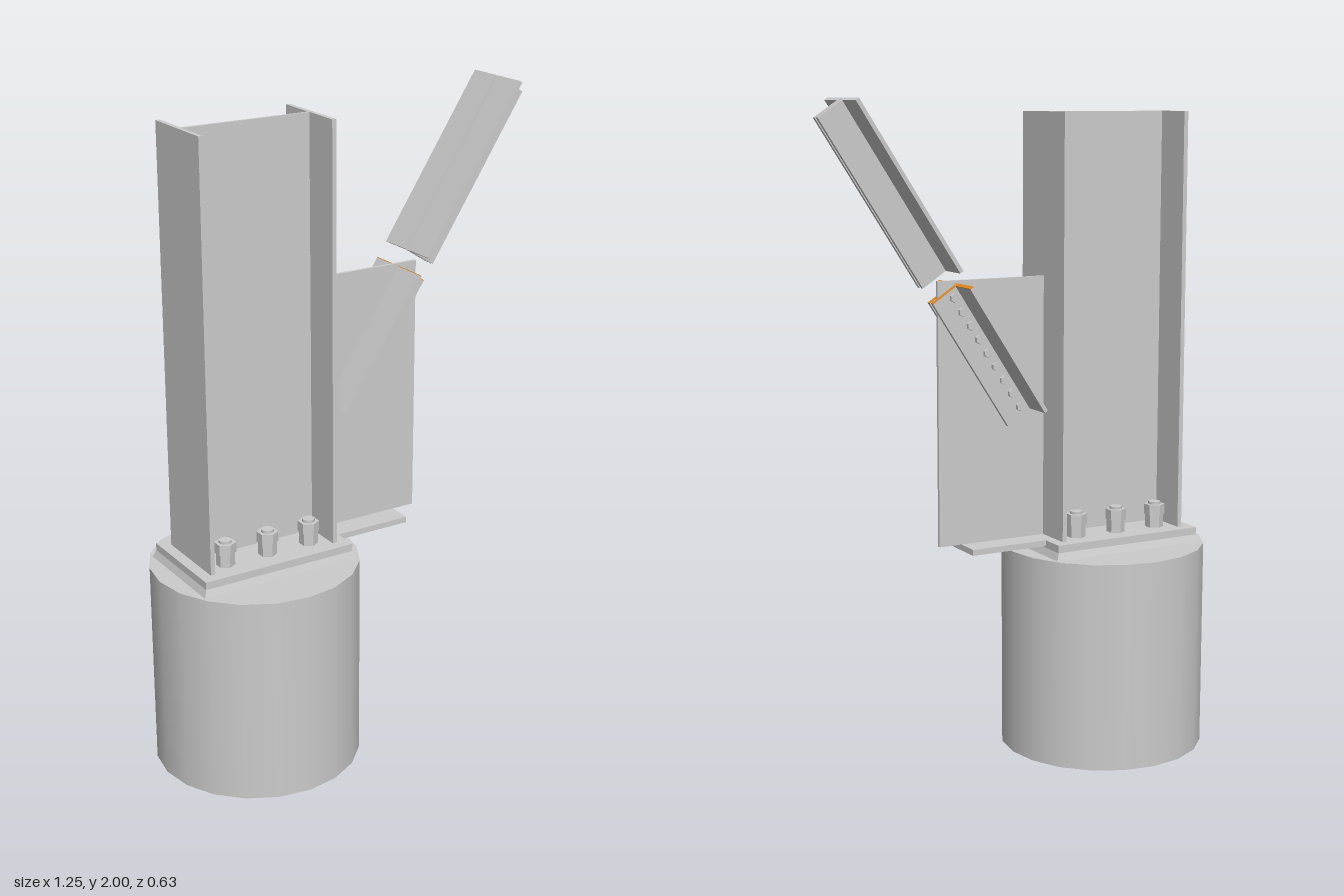
import * as THREE from 'three';

const grey = new THREE.MeshStandardMaterial({ color: 0xcccccc });
const greyFlat = new THREE.MeshStandardMaterial({ color: 0xcccccc, flatShading: true });
const orange = new THREE.MeshStandardMaterial({ color: 0xe08a1e });

function add(parent, name, geometry, material = grey) {
  const mesh = new THREE.Mesh(geometry, material);
  mesh.name = name;
  parent.add(mesh);
  return mesh;
}

// Box given by its limits on each axis
function block(parent, name, [x0, x1], [y0, y1], [z0, z1]) {
  const mesh = add(parent, name, new THREE.BoxGeometry(x1 - x0, y1 - y0, z1 - z0));
  mesh.position.set((x0 + x1) / 2, (y0 + y1) / 2, (z0 + z1) / 2);
  return mesh;
}

// L-shaped section extruded along local x; its corner lies on the upper edge beside the gusset
function angleGeometry(side, length) {
  const gap = 0.005, t = 0.012, leg = 0.1, reach = 0.11;
  const outline = [[gap, 0], [reach, 0], [reach, -t], [gap + t, -t], [gap + t, -leg], [gap, -leg]];
  const shape = new THREE.Shape(outline.map(([z, y]) => new THREE.Vector2(-side * z, y)));
  return new THREE.ExtrudeGeometry(shape, { depth: length, bevelEnabled: false }).rotateY(Math.PI / 2);
}

// Pair of back-to-back angles on the inclined brace line
function brace(parent, name, x, y, length) {
  const group = new THREE.Group();
  group.name = name;
  group.position.set(x, y, 0);
  group.rotation.z = THREE.MathUtils.degToRad(57);
  for (const side of [1, -1]) {
    add(group, side > 0 ? 'frontAngle' : 'backAngle', angleGeometry(side, length));
  }
  parent.add(group);
  return group;
}

export function createModel() {
  const model = new THREE.Group();
  model.name = 'columnBaseConnection';
  const cx = -0.312;

  // Round concrete pedestal
  add(model, 'pedestal', new THREE.CylinderGeometry(0.316, 0.316, 0.64, 20))
    .position.set(cx, 0.32, 0);

  // Grout bed flaring towards the bottom
  const groutGeometry = new THREE.BoxGeometry(0.512, 0.022, 0.334);
  const p = groutGeometry.attributes.position;
  for (let i = 0; i < p.count; i++) {
    if (p.getY(i) > 0) p.setXYZ(i, Math.sign(p.getX(i)) * 0.247, p.getY(i), Math.sign(p.getZ(i)) * 0.158);
  }
  groutGeometry.computeVertexNormals();
  add(model, 'grout', groutGeometry).position.set(cx, 0.651, 0);
  block(model, 'basePlate', [-0.559, -0.065], [0.662, 0.685], [-0.158, 0.158]);

  // I-section column
  const column = new THREE.Group();
  column.name = 'column';
  model.add(column);
  block(column, 'outerFlange', [-0.525, -0.511], [0.685, 1.96], [-0.125, 0.125]);
  block(column, 'innerFlange', [-0.112, -0.098], [0.685, 1.96], [-0.125, 0.125]);
  block(column, 'web', [-0.511, -0.112], [0.685, 1.96], [-0.004, 0.004]);

  // Gusset and its bottom plate
  block(model, 'gussetPlate', [-0.098, 0.255], [0.685, 1.477], [-0.005, 0.005]);
  block(model, 'gussetFootPlate', [-0.065, 0.182], [0.667, 0.685], [-0.08, 0.08]);

  // Anchor bolts with a lower and an upper nut
  for (const x of [-0.453, cx, -0.171]) {
    for (const z of [-0.081, 0.081]) {
      const bolt = new THREE.Group();
      bolt.name = 'anchorBolt';
      bolt.position.set(x, 0.685, z);
      model.add(bolt);
      add(bolt, 'lowerNut', new THREE.CylinderGeometry(0.028, 0.028, 0.042, 6), greyFlat).position.y = 0.021;
      add(bolt, 'upperNut', new THREE.CylinderGeometry(0.032, 0.032, 0.032, 6), greyFlat).position.y = 0.056;
      add(bolt, 'rod', new THREE.CylinderGeometry(0.019, 0.019, 0.08, 12)).position.y = 0.04;
    }
  }

  // Lower brace bolted to the gusset, with a coloured upper end
  const lower = brace(model, 'lowerBrace', -0.054, 1.088, 0.452);
  for (const side of [1, -1]) {
    add(lower, 'endFace', angleGeometry(side, 0.002), orange).position.x = 0.452;
  }
  for (let i = 0; i < 9; i++) {
    const x = 0.027 + i * 0.0502;
    for (const side of [1, -1]) {
      add(lower, 'braceBoltHead', new THREE.CylinderGeometry(0.014, 0.014, 0.012, 6).rotateX(Math.PI / 2), greyFlat)
        .position.set(x, -0.036, side * 0.022);
    }
  }

  // Upper length of the brace beyond the gap
  brace(model, 'upperBrace', 0.224, 1.514, 0.579);

  return model;
}
